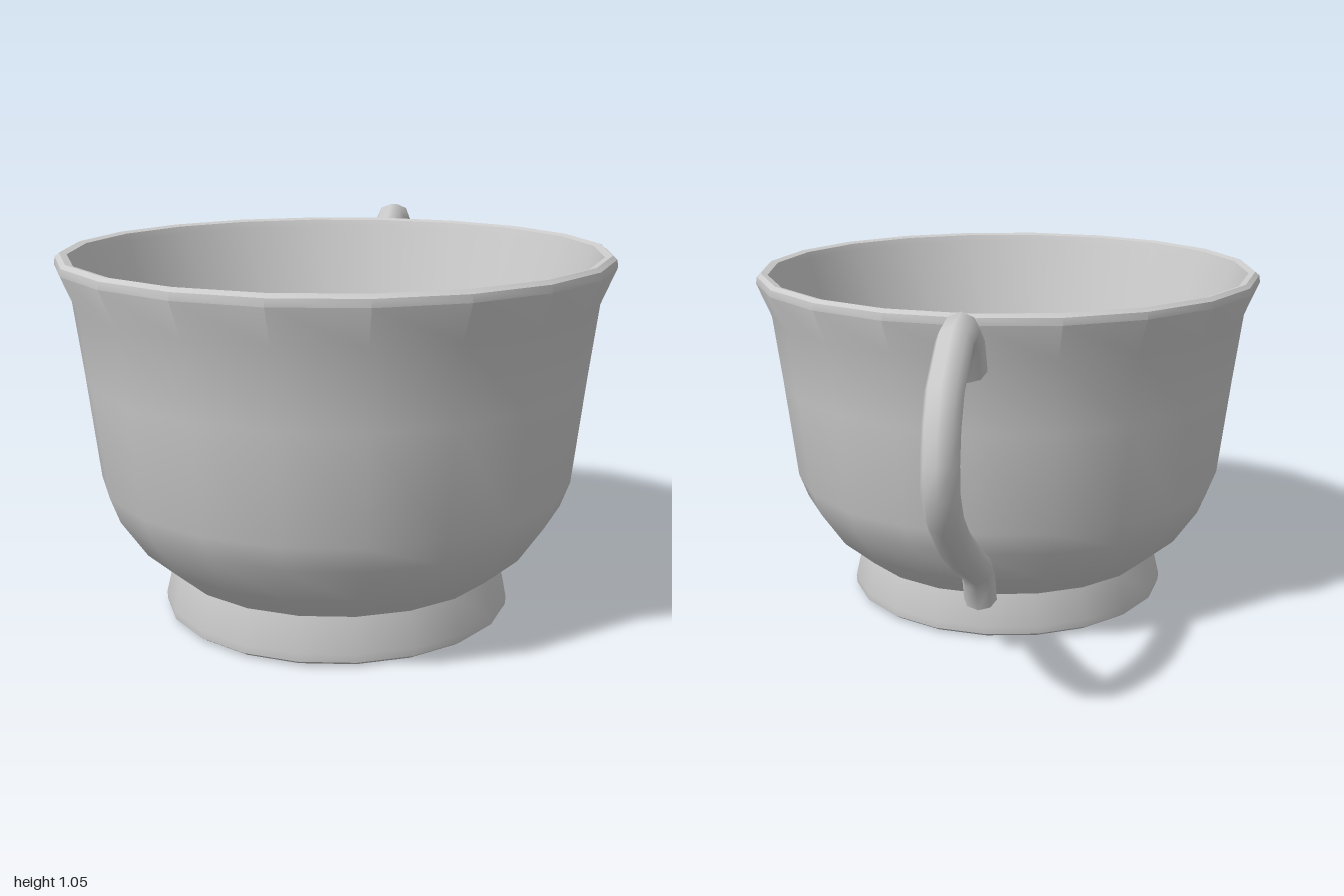
import * as THREE from 'three';
import { toCreasedNormals } from 'three/addons/utils/BufferGeometryUtils.js';

const SIDES = 20;
const CUP_Z = 0.237;
const HANDLE_RADIUS = 0.047;

export function createModel() {
  const group = new THREE.Group();
  const material = new THREE.MeshStandardMaterial({ color: 0xcccccc });

  const add = (name, geometry, parent = group) => {
    const mesh = new THREE.Mesh(geometry, material);
    mesh.name = name;
    parent.add(mesh);
    return mesh;
  };

  // Revolved part with soft sides and sharp profile corners
  const revolve = (name, profile) => {
    const points = profile.map(([r, y]) => new THREE.Vector2(r, y));
    const geometry = toCreasedNormals(new THREE.LatheGeometry(points, SIDES), 0.6);
    add(name, geometry).position.z = CUP_Z;
  };

  // Foot ring with a closed, bevelled underside
  revolve('foot', [[0, 0], [0.47, 0], [0.488, 0.012], [0.49, 0.035], [0.467, 0.13]]);

  // Bowl: outer wall, rim, inner wall and floor
  revolve('bowl', [
    [0.467, 0.13], [0.56, 0.21], [0.632, 0.315], [0.658, 0.385], [0.692, 0.68],
    [0.718, 0.885], [0.76, 0.985], [0.757, 1.005], [0.745, 1.015],
    [0.725, 1.01], [0.718, 0.99], [0.465, 0.16], [0, 0.16],
  ]);

  // Handle: a bent rod in the plane x = 0, given as [z, y]
  const handle = new THREE.Group();
  handle.name = 'handle';
  group.add(handle);
  const path = new THREE.CatmullRomCurve3([
    [-0.517, 0.868], [-0.565, 0.957], [-0.65, 1.0], [-0.745, 0.99], [-0.887, 0.905],
    [-0.935, 0.832], [-0.955, 0.753], [-0.953, 0.683], [-0.904, 0.605], [-0.763, 0.488],
    [-0.575, 0.372], [-0.41, 0.28], [-0.375, 0.24], [-0.347, 0.165],
  ].map(([z, y]) => new THREE.Vector3(0, y, z)));
  // One ring of the tube per path point
  path.getPointAt = path.getPoint;
  path.getTangentAt = path.getTangent;
  add('handleRod', new THREE.TubeGeometry(path, path.points.length - 1, HANDLE_RADIUS, 8), handle);

  // Flat ends of the handle
  for (const [name, t, sign] of [['handleTopEnd', 0, -1], ['handleBottomEnd', 1, 1]]) {
    const cap = add(name, new THREE.CircleGeometry(HANDLE_RADIUS, 8), handle);
    const end = path.getPoint(t);
    cap.position.copy(end);
    cap.lookAt(end.clone().addScaledVector(path.getTangent(t), sign));
  }

  return group;
}
